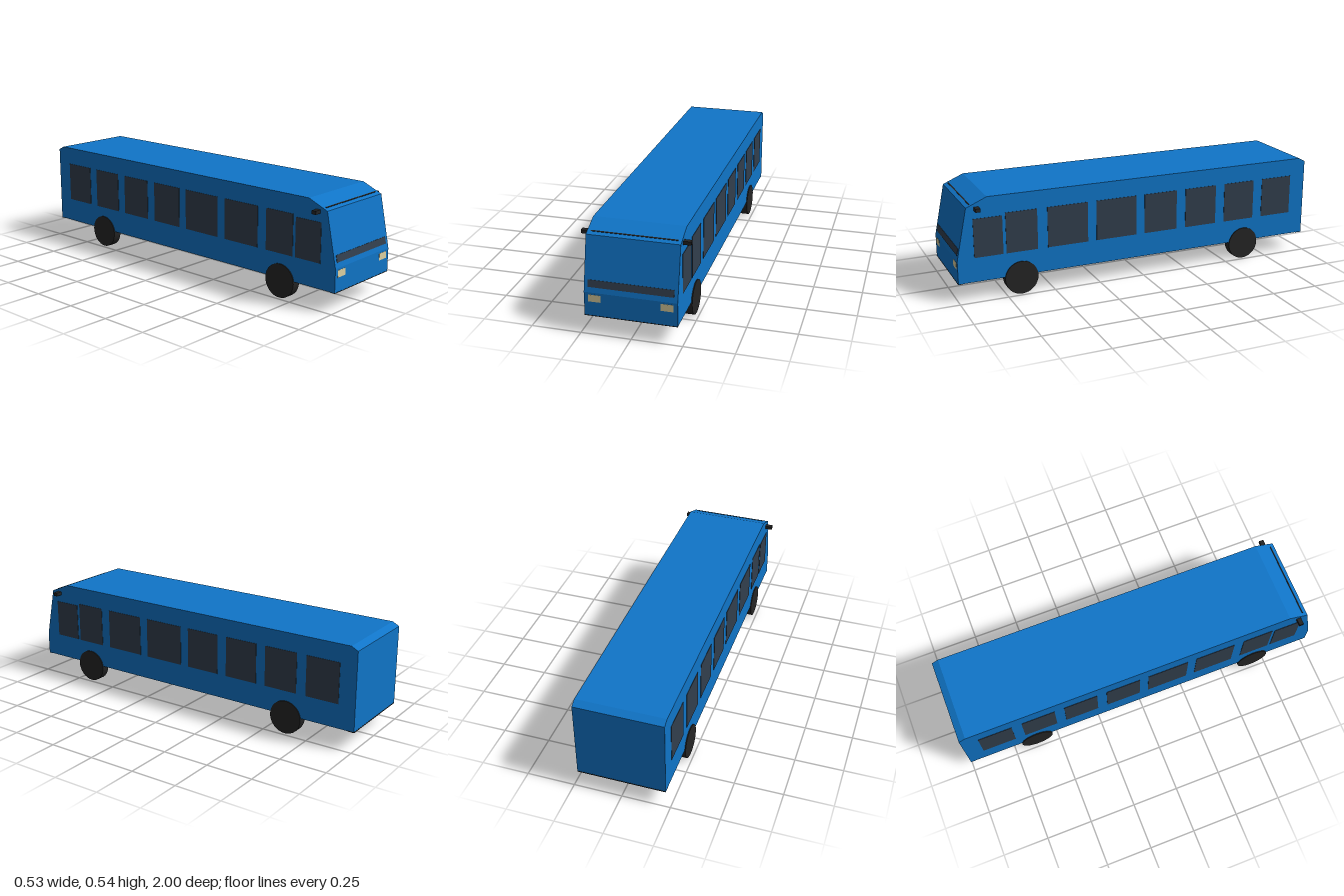
import * as THREE from 'three';

const mat = (name, color, opts = {}) => new THREE.MeshStandardMaterial({ name, color, ...opts });

export function createModel() {
  const bus = new THREE.Group();
  bus.name = 'bus';
  const blue = mat('bluePaint', 0x1075c8);
  const glass = mat('darkGlass', 0x323f4d);
  const black = mat('blackRubber', 0x252525);
  const cream = mat('headlightCream', 0xdfd3a3);

  const add = (name, geometry, material, x = 0, y = 0, z = 0) => {
    const mesh = new THREE.Mesh(geometry, material);
    mesh.name = name;
    mesh.position.set(x, y, z);
    bus.add(mesh);
    return mesh;
  };
  const box = (name, material, x0, x1, y0, y1, z0, z1) => add(name,
    new THREE.BoxGeometry(x1 - x0, y1 - y0, z1 - z0), material,
    (x0 + x1) / 2, (y0 + y1) / 2, (z0 + z1) / 2);

  // Body: side profile as (z, y), extruded across the width
  const half = 0.227;
  const profile = [[0.999, 0.1], [0.999, 0.22], [0.943, 0.49], [0.835, 0.536],
    [-0.963, 0.536], [-0.999, 0.517], [-0.999, 0.1]];
  const shape = new THREE.Shape(profile.map(([z, y]) => new THREE.Vector2(z, y)).reverse());
  const body = new THREE.ExtrudeGeometry(shape, { depth: half * 2, bevelEnabled: false });
  body.translate(0, 0, -half).rotateY(-Math.PI / 2);
  add('body', body, blue);

  // Glass strips lying on the sloping front, between two heights of a profile edge
  const slopeStrip = (name, material, [za, ya], [zb, yb], y0, y1) => {
    const zAt = y => za + (zb - za) * (y - ya) / (yb - ya);
    const dz = zAt(y1) - zAt(y0), dy = y1 - y0;
    const strip = add(name, new THREE.BoxGeometry(0.418, Math.hypot(dz, dy), 0.004), material,
      0, (y0 + y1) / 2, (zAt(y0) + zAt(y1)) / 2);
    strip.rotation.x = Math.atan2(dz, dy);
  };
  slopeStrip('windscreenStrip', glass, profile[1], profile[2], 0.246, 0.281);
  slopeStrip('windscreenTopTrim', black, profile[2], profile[3], 0.4985, 0.501);

  // Side windows as [rear z, front z, top y]
  const windows = [[0.762, 0.912, 0.43], [0.58, 0.746, 0.442], [0.307, 0.526, 0.442],
    [0.034, 0.259, 0.442], [-0.202, -0.014, 0.442], [-0.438, -0.255, 0.442],
    [-0.673, -0.491, 0.442], [-0.909, -0.727, 0.442]];

  const wheel = new THREE.CylinderGeometry(0.0875, 0.0875, 0.046, 32).rotateZ(Math.PI / 2);
  for (const [side, s] of [['left', 1], ['right', -1]]) {
    windows.forEach(([z0, z1, top], i) => add(`${side}Window${i + 1}`,
      new THREE.BoxGeometry(0.004, top - 0.228, z1 - z0), glass,
      s * half, (top + 0.228) / 2, (z0 + z1) / 2));
    add(`${side}FrontWheel`, wheel, black, s * 0.209, 0.0875, 0.671);
    add(`${side}RearWheel`, wheel, black, s * 0.209, 0.0875, -0.617);
    add(`${side}Mirror`, new THREE.BoxGeometry(0.045, 0.018, 0.024), black, s * 0.2425, 0.482, 0.892);
    add(`${side}Headlight`, new THREE.BoxGeometry(0.061, 0.036, 0.004), cream, s * 0.176, 0.191, 0.998);
  }

  // Low bumper edges under the nose and tail
  box('frontBumper', black, -half, half, 0.098, 0.101, 0.975, 1);
  box('rearBumper', black, -half, half, 0.098, 0.103, -1, -0.965);
  return bus;
}
